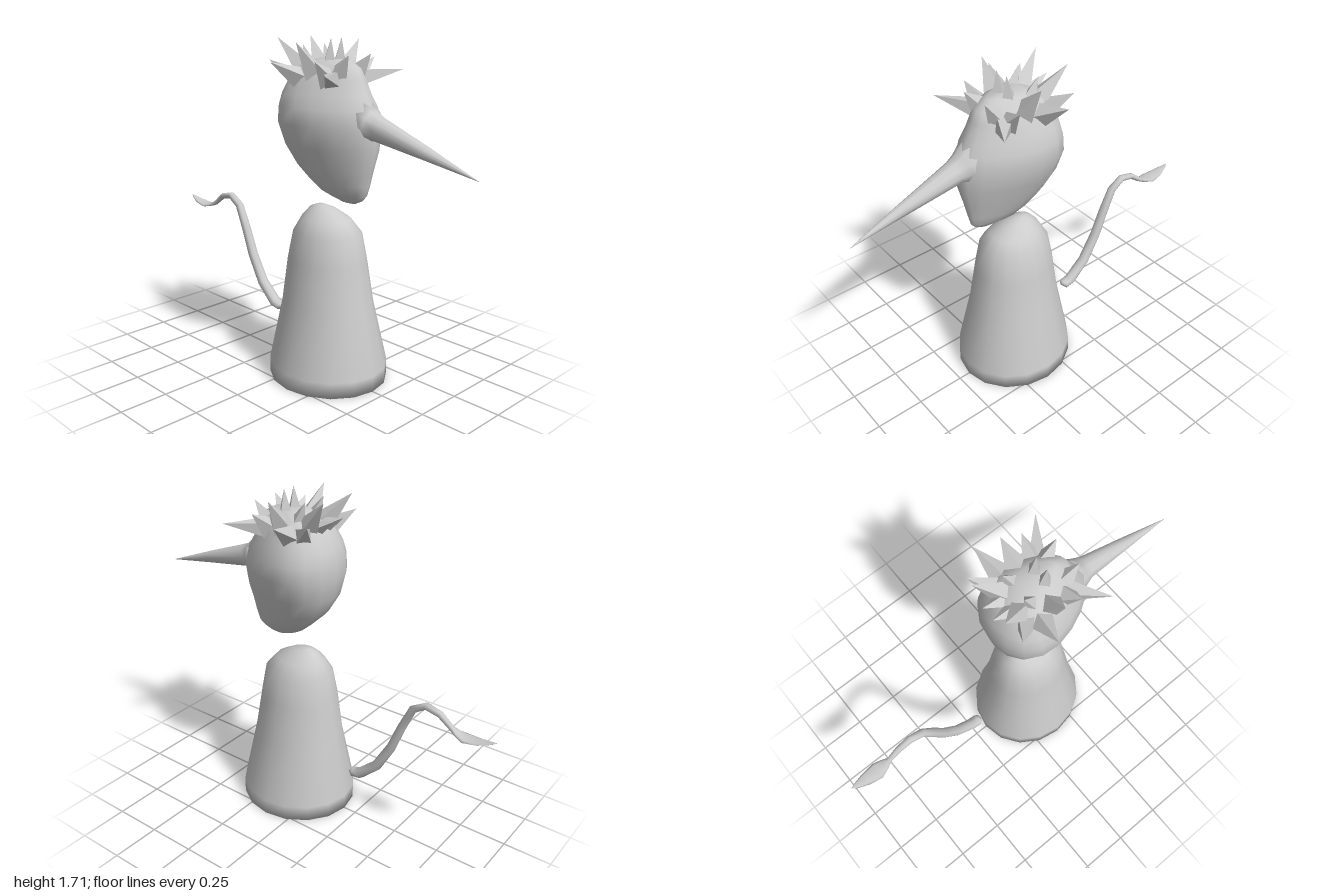
import * as THREE from 'three';

const material = new THREE.MeshStandardMaterial({ color: 0xcccccc, side: THREE.DoubleSide });

// Skin a list of equal-sized rings (counter-clockwise about the direction of travel) and cap both ends
function loft(name, rings) {
  const n = rings[0].length;
  const points = rings.flat();
  const index = [];
  for (let i = 0; i < rings.length - 1; i++) {
    for (let j = 0; j < n; j++) {
      const k = (j + 1) % n;
      const a = i * n + j, b = i * n + k, c = b + n, d = a + n;
      index.push(a, b, c, a, c, d);
    }
  }
  const last = (rings.length - 1) * n;
  const average = (ring) => ring.reduce((s, p) => s.add(p), new THREE.Vector3()).divideScalar(n);
  const bottom = points.push(average(rings[0])) - 1;
  const top = points.push(average(rings[rings.length - 1])) - 1;
  for (let j = 0; j < n; j++) {
    const k = (j + 1) % n;
    index.push(bottom, k, j, top, last + j, last + k);
  }
  const geometry = new THREE.BufferGeometry().setFromPoints(points);
  geometry.setIndex(index);
  geometry.computeVertexNormals();
  const mesh = new THREE.Mesh(geometry, material);
  mesh.name = name;
  return mesh;
}

// Upright form from rows of [y, back z, front z, half width]; taper narrows the front
function upright(name, rows, sides, taper = 0) {
  return loft(name, rows.map(([y, back, front, width]) =>
    Array.from({ length: sides }, (_, j) => {
      const a = (j / sides) * Math.PI * 2;
      return new THREE.Vector3(
        width * Math.sin(a - taper * Math.sin(a)), y,
        (back + front) / 2 + (front - back) / 2 * Math.cos(a));
    })));
}

// Form swept in the x = 0 plane from rows of [y, z, half width, half thickness]
function sweep(name, rows, sides) {
  const side = new THREE.Vector3(1, 0, 0);
  return loft(name, rows.map(([y, z, width, thick], i) => {
    const p = rows[Math.max(i - 1, 0)], q = rows[Math.min(i + 1, rows.length - 1)];
    const along = new THREE.Vector3(0, q[0] - p[0], q[1] - p[1]).normalize();
    const up = along.cross(side);
    return Array.from({ length: sides }, (_, j) => {
      const a = (j / sides) * Math.PI * 2;
      return new THREE.Vector3(0, y, z)
        .addScaledVector(side, width * Math.cos(a))
        .addScaledVector(up, thick * Math.sin(a));
    });
  }));
}

// Four-sided pointed tuft from a root to a tip
function spike(root, tip, radius) {
  const from = new THREE.Vector3(...root), to = new THREE.Vector3(...tip);
  const direction = to.clone().sub(from);
  const geometry = new THREE.ConeGeometry(radius, direction.length(), 4);
  const mesh = new THREE.Mesh(geometry, spikeMaterial);
  mesh.position.copy(from).add(to).multiplyScalar(0.5);
  mesh.quaternion.setFromUnitVectors(new THREE.Vector3(0, 1, 0), direction.normalize());
  mesh.name = 'hairSpike';
  return mesh;
}
const spikeMaterial = material.clone();
spikeMaterial.flatShading = true;

export function createModel() {
  const model = new THREE.Group();
  model.name = 'creature';

  // Bell-shaped body leaning back towards the top
  model.add(upright('body', [
    [0, -0.18, 0.44, 0.29],
    [0.08, -0.18, 0.44, 0.29],
    [0.4, -0.12, 0.37, 0.215],
    [0.62, -0.09, 0.33, 0.187],
    [0.76, -0.065, 0.305, 0.158],
    [0.83, -0.025, 0.245, 0.11],
    [0.875, 0.015, 0.16, 0.055],
    [0.89, 0.05, 0.1, 0.02],
  ], 16));

  // Head with a narrow chin and muzzle
  model.add(upright('head', [
    [0.932, 0.22, 0.3, 0.008],
    [0.955, 0.15, 0.35, 0.035],
    [0.98, 0.1, 0.372, 0.066],
    [1.03, 0.04, 0.385, 0.1],
    [1.1, -0.035, 0.4, 0.134],
    [1.2, -0.093, 0.425, 0.18],
    [1.31, -0.115, 0.43, 0.218],
    [1.39, -0.11, 0.405, 0.21],
    [1.45, -0.095, 0.365, 0.19],
    [1.52, -0.06, 0.335, 0.16],
    [1.57, -0.02, 0.31, 0.125],
    [1.605, 0.06, 0.25, 0.065],
  ], 18, 0.3));

  // Long pointed beak flaring into the face
  model.add(sweep('beak', [
    [1.33, 0.34, 0.1, 0.11],
    [1.315, 0.4, 0.075, 0.075],
    [1.308, 0.445, 0.058, 0.058],
    [1.235, 0.72, 0.03, 0.03],
    [1.16, 0.99, 0.001, 0.001],
  ], 10));

  // Crown of mirrored hair spikes: root, tip, radius
  const hair = new THREE.Group();
  hair.name = 'hair';
  const tufts = [
    [[0.1, 1.52, 0.24], [0.26, 1.555, 0.36], 0.05],
    [[0.06, 1.53, 0.24], [0.075, 1.635, 0.32], 0.06],
    [[0.09, 1.51, 0.21], [0.2, 1.61, 0.23], 0.065],
    [[0.09, 1.52, 0.13], [0.21, 1.69, 0.12], 0.07],
    [[0.035, 1.55, 0.16], [0.035, 1.705, 0.17], 0.05],
    [[0.1, 1.5, 0.07], [0.285, 1.6, 0.03], 0.07],
    [[0.06, 1.53, 0.08], [0.07, 1.67, 0.02], 0.06],
    [[0.05, 1.53, 0.03], [0.11, 1.7, -0.115], 0.065],
    [[0.08, 1.5, 0.03], [0.19, 1.6, -0.085], 0.065],
    [[0.03, 1.53, 0.02], [0.035, 1.6, -0.12], 0.055],
  ];
  for (const [[rx, ry, rz], [tx, ty, tz], radius] of tufts) {
    for (const s of [1, -1]) hair.add(spike([s * rx, ry, rz], [s * tx, ty, tz], radius));
  }
  model.add(hair);

  // Curling tail ending in a flat leaf-shaped tip
  model.add(sweep('tail', [
    [0.272, -0.218, 0.018, 0.012],
    [0.262, -0.235, 0.032, 0.024],
    [0.27, -0.275, 0.032, 0.028],
    [0.36, -0.375, 0.03, 0.026],
    [0.5, -0.455, 0.028, 0.024],
    [0.64, -0.51, 0.026, 0.022],
    [0.76, -0.565, 0.023, 0.02],
    [0.803, -0.635, 0.02, 0.018],
    [0.785, -0.71, 0.017, 0.016],
    [0.735, -0.775, 0.014, 0.013],
    [0.72, -0.805, 0.03, 0.01],
    [0.708, -0.85, 0.045, 0.008],
    [0.715, -0.92, 0.034, 0.007],
    [0.733, -0.98, 0.014, 0.004],
    [0.742, -1.0, 0.002, 0.001],
  ], 8));

  return model;
}
